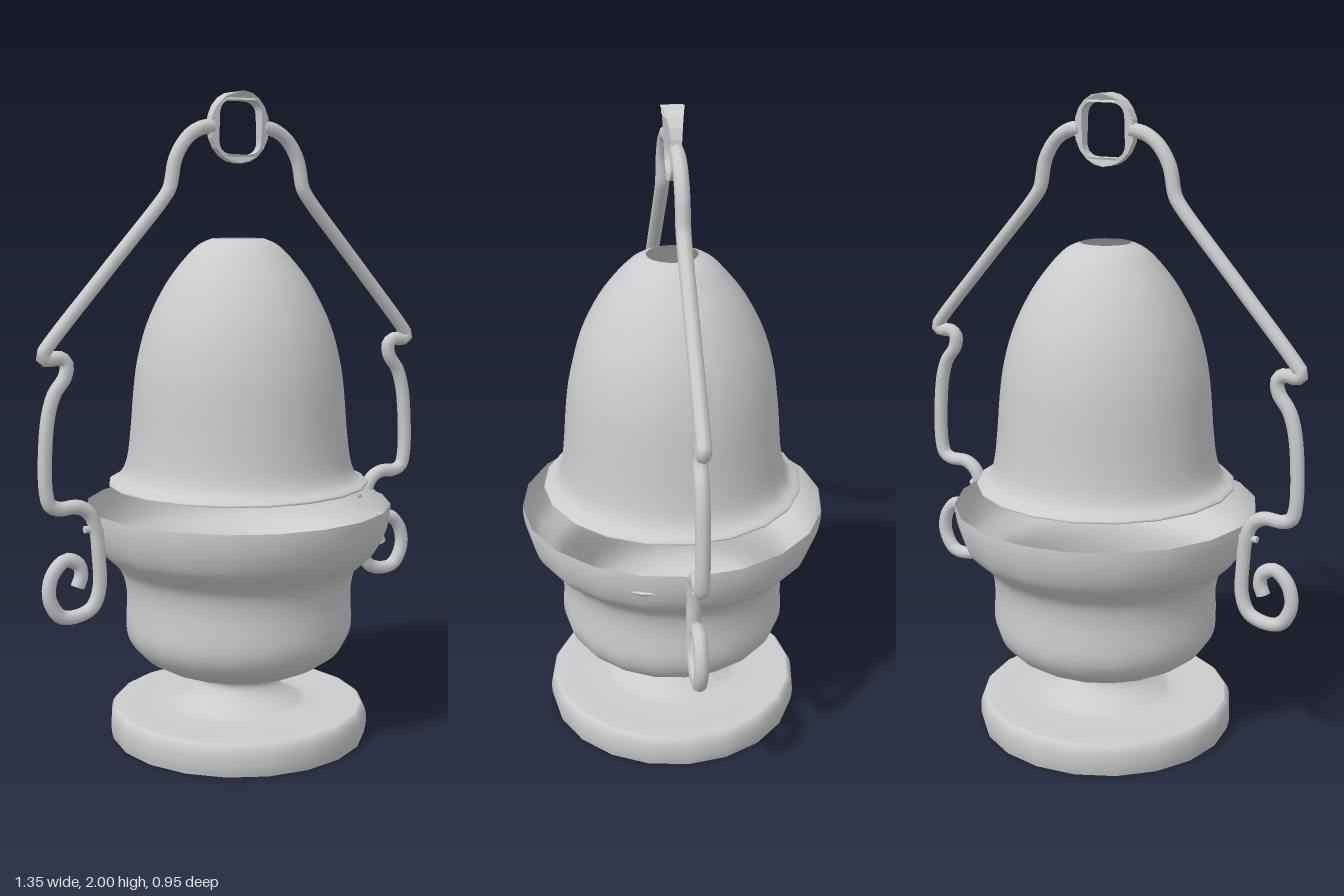
import * as THREE from 'three';

const material = new THREE.MeshStandardMaterial({ color: 0xcccccc, side: THREE.DoubleSide });

function add(parent, name, geometry) {
  const mesh = new THREE.Mesh(geometry, material);
  mesh.name = name;
  parent.add(mesh);
  return mesh;
}

const vec2 = ([x, y]) => new THREE.Vector2(x, y);

// Thin turned shell with 20 sides, from a smoothed profile of [radius, height]
function turned(profile, steps) {
  return new THREE.LatheGeometry(new THREE.SplineCurve(profile.map(vec2)).getPoints(steps), 20);
}

// Hanging ring: oval plate with a rounded opening, thickest at the top middle
function ringGeometry() {
  const shape = new THREE.Shape().absellipse(0, 0, 0.103, 0.107, 0, Math.PI * 2);
  const w = 0.074, h = 0.08, r = 0.045;
  const hole = new THREE.Path();
  hole.moveTo(-w + r, -h);
  hole.lineTo(w - r, -h).quadraticCurveTo(w, -h, w, -h + r);
  hole.lineTo(w, h - r).quadraticCurveTo(w, h, w - r, h);
  hole.lineTo(-w + r, h).quadraticCurveTo(-w, h, -w, h - r);
  hole.lineTo(-w, -h + r).quadraticCurveTo(-w, -h, -w + r, -h);
  shape.holes.push(hole);
  const geometry = new THREE.ExtrudeGeometry(shape, { depth: 0.064, bevelEnabled: false, curveSegments: 10 });
  geometry.translate(0, 0, -0.032);
  const p = geometry.attributes.position;
  for (let i = 0; i < p.count; i++) {
    const taper = 1 - 0.5 * Math.abs(p.getX(i)) / 0.103;
    const rise = 0.75 + 0.25 * p.getY(i) / 0.107;
    p.setZ(i, p.getZ(i) * taper * rise * 1.1);
  }
  geometry.computeVertexNormals();
  return geometry;
}

export function createModel() {
  const model = new THREE.Group();
  model.name = 'hangingBurner';

  // Hollow foot, open neck and bowl
  add(model, 'foot', turned([
    [0.402, 0], [0.408, 0.03], [0.407, 0.07], [0.395, 0.096], [0.37, 0.1], [0.23, 0.1],
    [0.18, 0.118], [0.14, 0.145], [0.122, 0.172], [0.13, 0.195], [0.16, 0.208],
  ], 40));
  add(model, 'bowl', turned([
    [0.16, 0.208], [0.23, 0.225], [0.3, 0.262], [0.34, 0.305], [0.357, 0.36], [0.354, 0.45],
    [0.36, 0.51], [0.378, 0.55], [0.415, 0.585], [0.446, 0.62], [0.466, 0.67], [0.474, 0.715], [0.475, 0.745],
  ], 40));

  // Domed lid with flared lip and open top
  add(model, 'lid', turned([
    [0.404, 0.808], [0.402, 0.816], [0.37, 0.835], [0.35, 0.88], [0.338, 0.97], [0.327, 1.1],
    [0.312, 1.2], [0.28, 1.31], [0.225, 1.42], [0.165, 1.5], [0.12, 1.543], [0.078, 1.562],
  ], 40));

  // Hanging ring
  add(model, 'hangingRing', ringGeometry()).position.y = 1.893;

  // Bent wire handle ending in a scroll, one per side
  const path = [
    [0.09, 1.895], [0.13, 1.888], [0.175, 1.86], [0.215, 1.8], [0.235, 1.715], [0.25, 1.69],
    [0.45, 1.468], [0.638, 1.258], [0.652, 1.236], [0.638, 1.224], [0.6, 1.227], [0.578, 1.21],
    [0.583, 1.172], [0.617, 1.125], [0.636, 1.07], [0.648, 0.98], [0.65, 0.845], [0.638, 0.8],
    [0.61, 0.786], [0.55, 0.786], [0.512, 0.762], [0.492, 0.71], [0.485, 0.64], [0.484, 0.53],
    [0.508, 0.476], [0.56, 0.456], [0.612, 0.464], [0.646, 0.525], [0.634, 0.592],
    [0.59, 0.631], [0.55, 0.612], [0.542, 0.578], [0.555, 0.545],
  ];
  for (const [side, label] of [[1, 'left'], [-1, 'right']]) {
    const curve = new THREE.CatmullRomCurve3(path.map(([x, y]) => new THREE.Vector3(side * x, y, 0)));
    const handle = new THREE.Group();
    handle.name = label + 'Handle';
    add(handle, 'wire', new THREE.TubeGeometry(curve, 160, 0.022, 8));
    // Flat ends of the wire
    for (const t of [0, 1]) {
      const cap = add(handle, 'wireEnd', new THREE.CircleGeometry(0.022, 8));
      cap.position.copy(curve.getPoint(t));
      cap.lookAt(cap.position.clone().addScaledVector(curve.getTangent(t), t ? 1 : -1));
    }
    // Rivet through the wire into the rim
    const rivet = add(handle, 'rivet', new THREE.CylinderGeometry(0.011, 0.011, 0.07, 8));
    rivet.rotation.z = Math.PI / 2;
    rivet.position.set(side * 0.495, 0.715, 0);
    model.add(handle);
  }

  // Small diamond stud on the bowl
  const stud = add(model, 'diamondStud', new THREE.OctahedronGeometry(1));
  stud.scale.set(0.008, 0.011, 0.038);
  stud.position.set(0.444, 0.68, 0.144);
  stud.rotation.y = -Math.PI / 10;

  return model;
}
